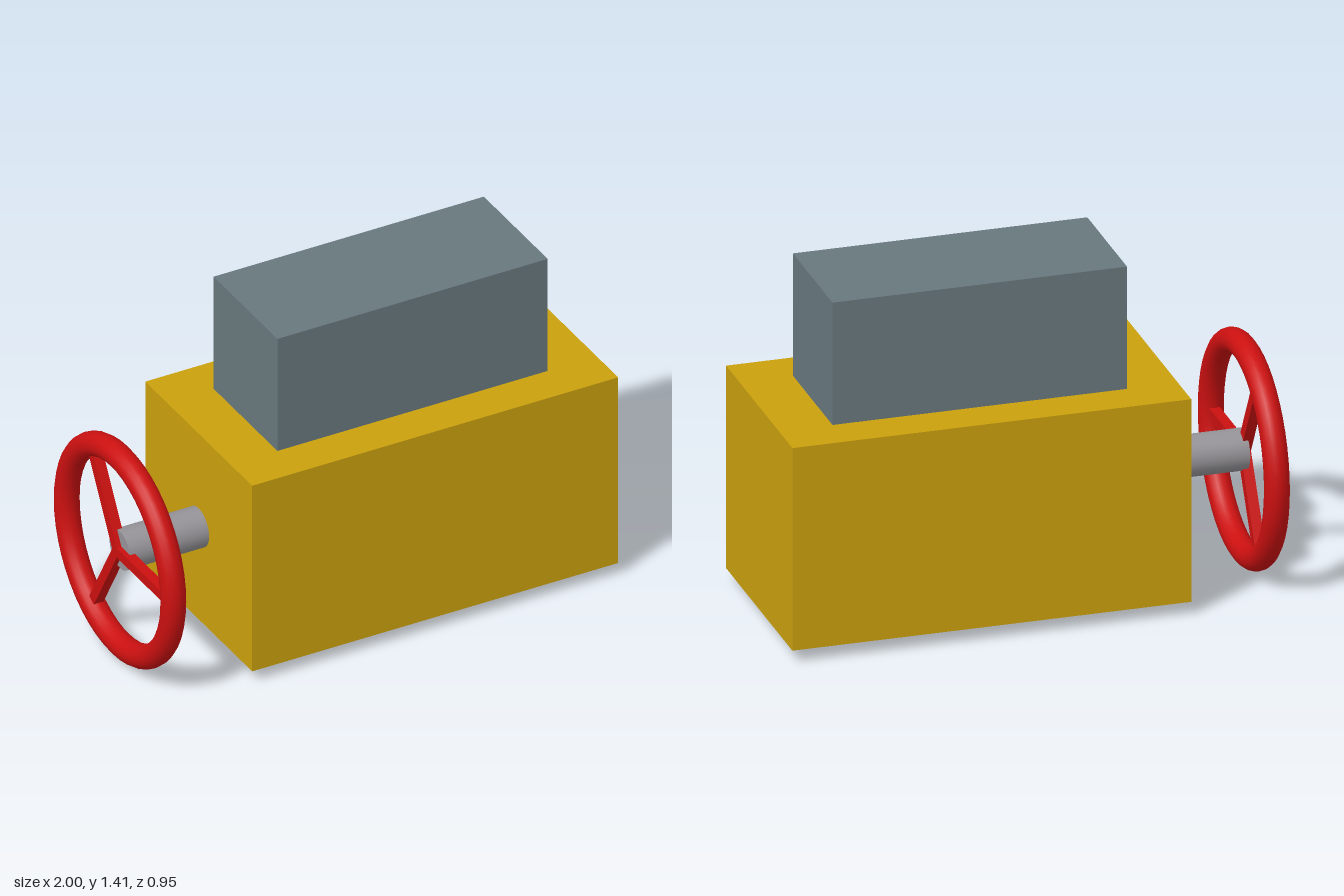
import * as THREE from 'three';

function material(name, color) {
  const m = new THREE.MeshStandardMaterial({ color });
  m.name = name;
  return m;
}

export function createModel() {
  const yellow = material('yellow paint', 0xcaa00d);
  const slate = material('slate grey', 0x68787d);
  const red = material('red paint', 0xcc1010);
  const steel = material('steel grey', 0x959397);

  const model = new THREE.Group();
  model.name = 'handwheelActuator';

  const add = (parent, name, geometry, mat, x, y, z) => {
    const mesh = new THREE.Mesh(geometry, mat);
    mesh.name = name;
    mesh.position.set(x, y, z);
    parent.add(mesh);
    return mesh;
  };

  // Main housing and the smaller block on top
  add(model, 'housing', new THREE.BoxGeometry(1.605, 0.845, 0.85), yellow, 0.1975, 0.4775, 0);
  add(model, 'topBlock', new THREE.BoxGeometry(1.185, 0.51, 0.508), slate, 0.1925, 1.155, 0);

  // Shaft leaving the end of the housing
  const shaft = new THREE.CylinderGeometry(0.083, 0.083, 0.35, 32).rotateZ(Math.PI / 2);
  add(model, 'shaft', shaft, steel, -0.775, 0.4775, 0);

  // Handwheel: rim with three spokes, turning about x
  const wheel = new THREE.Group();
  wheel.name = 'handwheel';
  wheel.position.set(-0.95, 0.4765, 0);
  model.add(wheel);

  const rimRadius = 0.424;
  const rim = new THREE.TorusGeometry(rimRadius, 0.05, 16, 48).rotateY(Math.PI / 2);
  add(wheel, 'rim', rim, red, 0, 0, 0);
  for (let i = 0; i < 3; i++) {
    const spoke = new THREE.BoxGeometry(0.042, 0.042, rimRadius).translate(0, 0, rimRadius / 2);
    add(wheel, `spoke${i + 1}`, spoke, red, 0, 0, 0).rotation.x = (i * Math.PI * 2) / 3;
  }

  return model;
}
